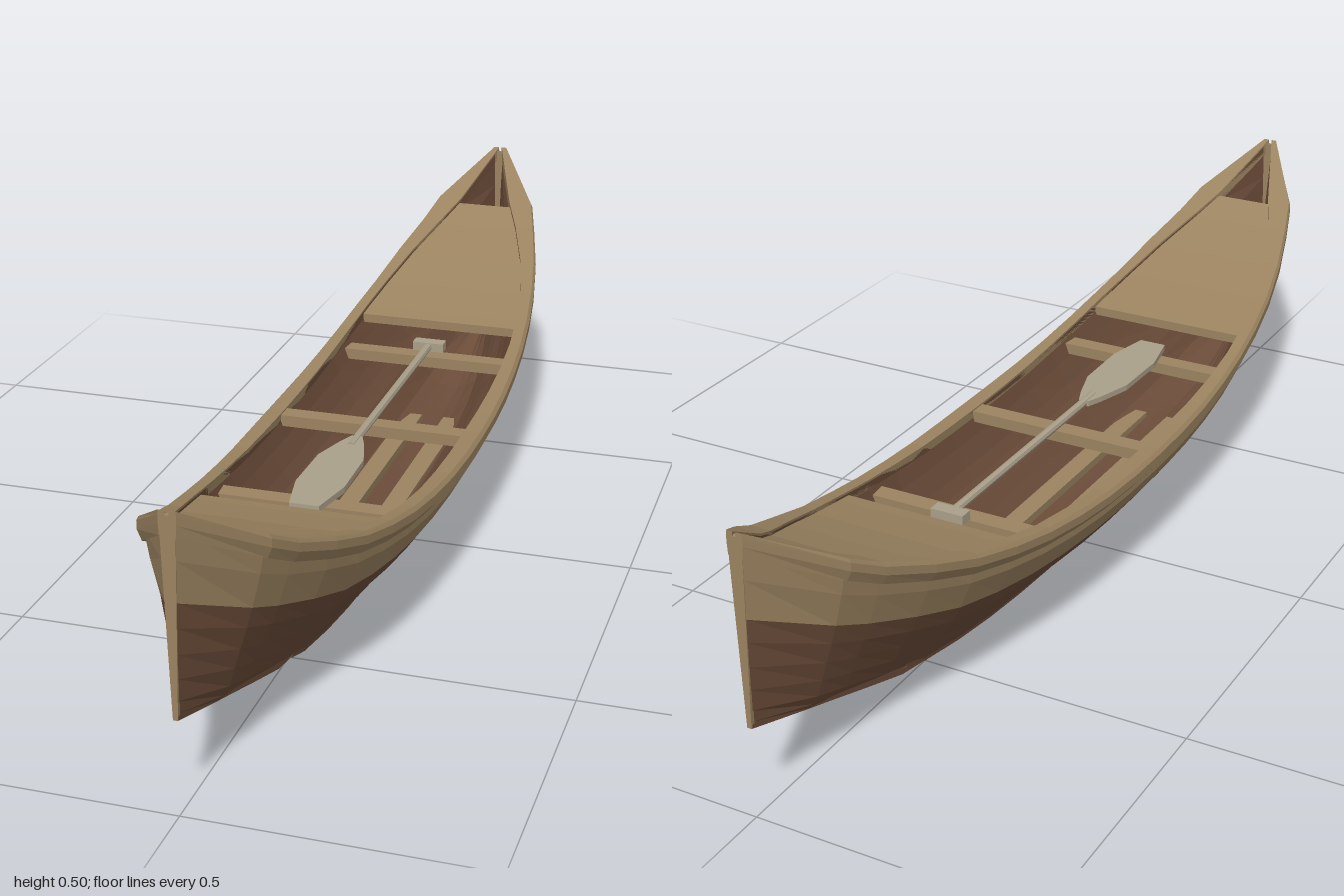
import * as THREE from 'three';

// Station tables, indexed by distance from midships (symmetrical fore and aft)
const Z = [0, 0.1, 0.2, 0.3, 0.4, 0.5, 0.6, 0.7, 0.8, 0.865, 1];
const WIDTH = [0.213, 0.212, 0.209, 0.204, 0.197, 0.187, 0.173, 0.154, 0.127, 0.107, 0.014];
const INNER = [0.177, 0.177, 0.176, 0.174, 0.169, 0.16, 0.145, 0.12, 0.085, 0.055, 0.003];
const SHEER = [0.237, 0.238, 0.242, 0.251, 0.265, 0.285, 0.31, 0.345, 0.385, 0.42, 0.505];
const BOTTOM = [0.03, 0.03, 0.031, 0.033, 0.037, 0.044, 0.055, 0.082, 0.11, 0.126, 0.167];
const KEEL = [0, 0, 0.002, 0.005, 0.01, 0.02, 0.035, 0.067, 0.1, 0.121, 0.165];
const KEEL_W = [0.026, 0.026, 0.026, 0.026, 0.026, 0.022, 0.018, 0.015, 0.012, 0.01, 0.004];
// Midship section: height fraction to width fraction
const G = [0, 0.03, 0.09, 0.2, 0.32, 0.45, 0.57, 0.77, 0.93, 1];
const F = [0.05, 0.2, 0.38, 0.49, 0.6, 0.74, 0.83, 0.94, 0.94, 0.94];

function lookup(xs, ys, v) {
  let i = 1;
  while (i < xs.length - 1 && v > xs[i]) i++;
  return THREE.MathUtils.lerp(ys[i - 1], ys[i], (v - xs[i - 1]) / (xs[i] - xs[i - 1]));
}
const at = (table, z) => lookup(Z, table, Math.abs(z));

// Hull section turns from rounded midships to a V at the ends
function sectionX(z, g) {
  const k = Math.abs(z) ** 3;
  return lookup(G, F, g) * (1 - k) + (0.2 + 0.72 * g) * k;
}
const outer = (z, g) => [
  at(WIDTH, z) * sectionX(z, g),
  THREE.MathUtils.lerp(at(BOTTOM, z), at(SHEER, z), g),
];
const inner = (z, g) => [
  at(INNER, z) * (g > 0.9 ? 1 : sectionX(z, g)),
  THREE.MathUtils.lerp(at(BOTTOM, z) + 0.02, at(SHEER, z) - 0.004, g),
];
const mirror = (ring) => ring.map(([x, y]) => [-x, y]).reverse();

function stations(from, to) {
  const all = [...Z.map((z) => -z), ...Z.slice(1)].sort((a, b) => a - b);
  return [from, ...all.filter((z) => z > from + 0.005 && z < to - 0.005), to];
}

// Skin over cross-sections, each counter-clockwise seen from the front
function loft(from, to, section, closed) {
  const zs = stations(from, to);
  const rings = zs.map(section);
  const n = rings[0].length;
  const pos = [];
  const idx = [];
  rings.forEach((r, i) => r.forEach(([x, y]) => pos.push(x, y, zs[i])));
  for (let i = 0; i < zs.length - 1; i++) {
    for (let j = 0; j < (closed ? n : n - 1); j++) {
      const a = i * n + j, b = i * n + ((j + 1) % n);
      idx.push(a, b, b + n, a, b + n, a + n);
    }
  }
  if (closed) {
    const e = (zs.length - 1) * n;
    for (let j = 1; j < n - 1; j++) idx.push(0, j + 1, j, e, e + j, e + j + 1);
  }
  const geo = new THREE.BufferGeometry();
  geo.setAttribute('position', new THREE.Float32BufferAttribute(pos, 3));
  geo.setIndex(idx);
  const flat = geo.toNonIndexed();
  flat.computeVertexNormals();
  return flat;
}

function extrude(points, depth) {
  const shape = new THREE.Shape(points.map(([x, y]) => new THREE.Vector2(x, y)));
  return new THREE.ExtrudeGeometry(shape, { depth, bevelEnabled: false });
}

export function createModel() {
  const material = (name, color) => {
    const m = new THREE.MeshStandardMaterial({ color, flatShading: true, side: THREE.DoubleSide });
    m.name = name;
    return m;
  };
  const tan = material('tan wood', 0x9b8360);
  const brown = material('brown wood', 0x6b4c39);
  const grey = material('pale grey wood', 0xaaa08a);

  const model = new THREE.Group();
  model.name = 'canoe';
  const add = (name, geo, mat, x = 0, y = 0, z = 0, parent = model) => {
    const mesh = new THREE.Mesh(geo, mat);
    mesh.name = name;
    mesh.position.set(x, y, z);
    parent.add(mesh);
    return mesh;
  };

  // Hull: brown bottom, tan upper planks, brown lining
  const low = G.slice(0, 7), high = G.slice(6);
  const both = (half) => [...mirror(half), ...half];
  add('lowerHull', loft(-1, 1, (z) => both(low.map((g) => outer(z, g)))), brown);
  add('innerHull', loft(-0.985, 0.985, (z) => both(G.map((g) => inner(z, g))).reverse()), brown);

  for (const [side, flip] of [['left', (r) => r], ['right', mirror]]) {
    add(side + 'UpperHull', loft(-1, 1, (z) => flip(high.map((g) => outer(z, g)))), tan);

    // Gunwale with a small outer lip
    add(side + 'Gunwale', loft(-1, 1, (z) => {
      const w = at(WIDTH, z), i = at(INNER, z), y = at(SHEER, z);
      return flip([[i, y - 0.025], [w * 0.93, y - 0.04], [w, y - 0.022], [w, y - 0.007], [w * 0.97, y], [i, y]]);
    }, true), tan);

    // Bilge strip along the bottom
    add(side + 'BilgeStrip', loft(-0.65, 0.65, (z) => {
      const [x, y] = outer(z, 0.09);
      return flip([[x - 0.012, y + 0.006], [x - 0.008, y - 0.005], [x + 0.002, y - 0.002], [x + 0.004, y + 0.01]]);
    }, true), brown);

    // Floor batten
    const s = side === 'left' ? 1 : -1;
    add(side + 'FloorBatten', new THREE.BoxGeometry(0.038, 0.016, 0.87), tan, s * 0.042, 0.064, 0);
  }

  // Keel
  add('keel', loft(-0.998, 0.998, (z) => {
    const w = at(KEEL_W, z), y = at(KEEL, z), top = at(BOTTOM, z) + 0.006;
    return [[-w, y], [w, y], [w, top], [-w, top]];
  }, true), brown);

  // Stem plates and end decks
  const deckRing = (z) => {
    const w = at(INNER, z) + 0.005, y = at(SHEER, z) - 0.008;
    return [[-w, y - 0.018], [w, y - 0.018], [w, y], [-w, y]];
  };
  for (const [end, s] of [['front', 1], ['back', -1]]) {
    const stem = extrude([[-0.004, 0.165], [0.004, 0.165], [0.013, 0.497], [-0.013, 0.497]], 0.008);
    add(end + 'Stem', stem, tan, 0, 0, s > 0 ? 0.992 : -1);
    add(end + 'Deck', s > 0 ? loft(0.47, 0.86, deckRing, true) : loft(-0.86, -0.47, deckRing, true), tan);
  }

  // Thwarts
  for (const [name, z, w] of [['back', -0.375, 0.172], ['middle', 0, 0.178], ['front', 0.365, 0.172]]) {
    add(name + 'Thwart', new THREE.BoxGeometry(w * 2, 0.022, 0.036), tan, 0, 0.223, z);
  }

  // Paddle resting on the thwarts
  const paddle = new THREE.Group();
  paddle.name = 'paddle';
  model.add(paddle);
  add('paddleShaft', new THREE.CylinderGeometry(0.008, 0.008, 0.54, 8).rotateX(Math.PI / 2), grey, 0, 0.243, -0.13, paddle);
  add('paddleGrip', new THREE.BoxGeometry(0.064, 0.018, 0.026), grey, 0, 0.243, -0.402, paddle);
  const halfBlade = [[0.01, 0.1], [0.022, 0.13], [0.043, 0.2], [0.045, 0.32], [0.027, 0.408]];
  const blade = extrude([...halfBlade, ...mirror(halfBlade)], 0.011).rotateX(Math.PI / 2);
  add('paddleBlade', blade, grey, 0, 0.247, 0, paddle);

  return model;
}
